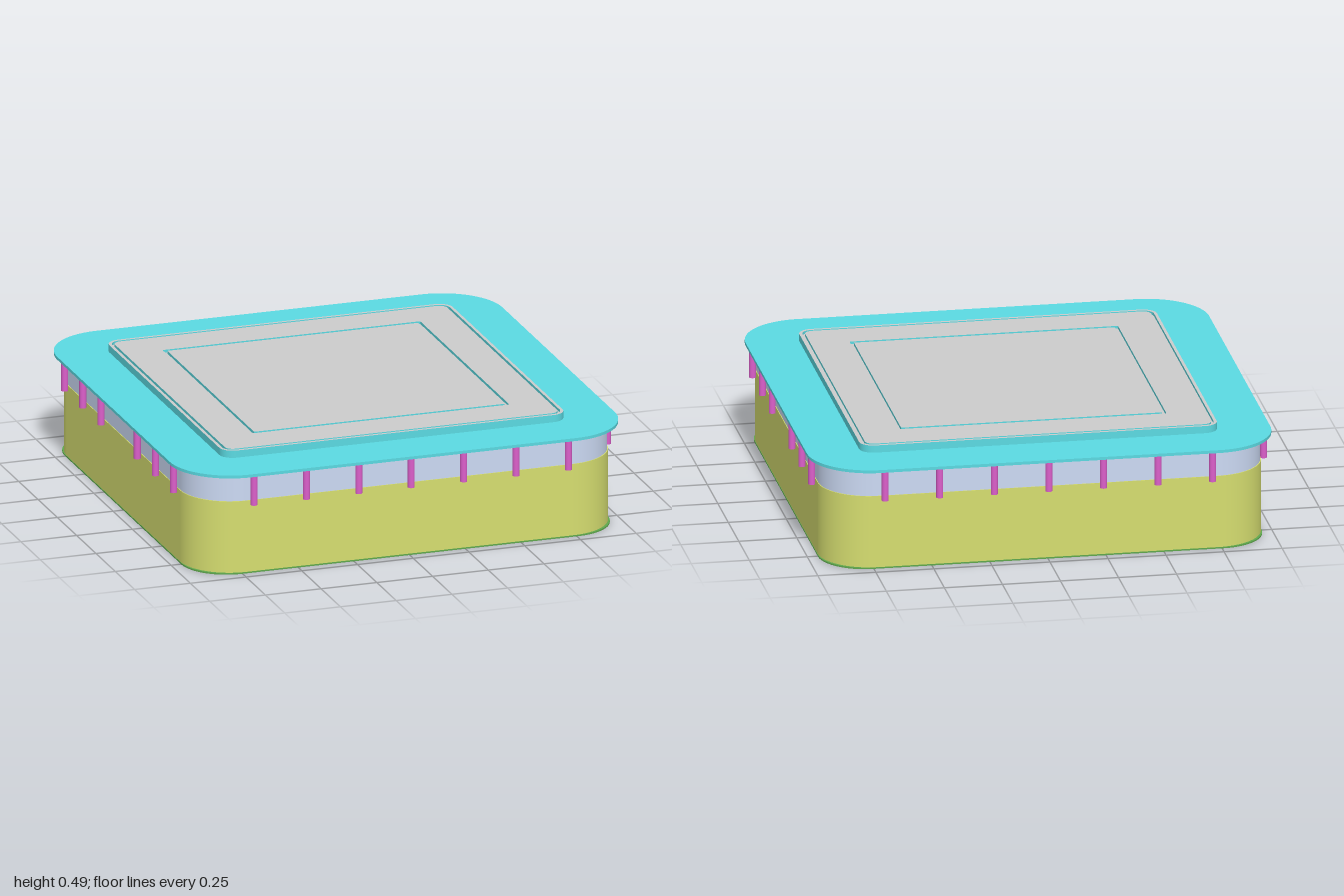
import * as THREE from 'three';

const mat = (color) => new THREE.MeshStandardMaterial({ color });
const grey = mat(0xcccccc), teal = mat(0x5bdae2), yellow = mat(0xd6de70);
const blue = mat(0xccdaf4), magenta = mat(0xdc5fcb), green = mat(0x5fa84c);

// Rounded square outline of half-size h and corner radius r
function outline(h, r, T = THREE.Shape) {
  const s = new T(), c = h - r;
  s.moveTo(c, -h);
  s.absarc(c, -c, r, -Math.PI / 2, 0);
  s.absarc(c, c, r, 0, Math.PI / 2);
  s.absarc(-c, c, r, Math.PI / 2, Math.PI);
  s.absarc(-c, -c, r, Math.PI, Math.PI * 1.5);
  s.closePath();
  return s;
}

// Upright slab between two heights, optionally with a rounded square hole
function slab(name, h, r, y0, y1, material, hole) {
  const s = outline(h, r);
  if (hole) s.holes.push(outline(hole[0], hole[1], THREE.Path));
  const g = new THREE.ExtrudeGeometry(s, { depth: y1 - y0, bevelEnabled: false, curveSegments: 16 });
  g.rotateX(-Math.PI / 2);
  g.translate(0, y0, 0);
  // Smooth normals around the rounded corners, flat caps
  const p = g.attributes.position, n = g.attributes.normal, c = h - r;
  for (let i = 0; i < p.count; i++) {
    if (hole || Math.abs(n.getY(i)) > 0.5) continue;
    const x = p.getX(i), z = p.getZ(i);
    const dx = Math.sign(x) * Math.max(0, Math.abs(x) - c);
    const dz = Math.sign(z) * Math.max(0, Math.abs(z) - c);
    const l = Math.hypot(dx, dz) || 1;
    n.setXYZ(i, dx / l, 0, dz / l);
  }
  const m = new THREE.Mesh(g, material);
  m.name = name;
  return m;
}

export function createModel() {
  const model = new THREE.Group();
  model.name = 'squareTub';

  // Floor plate, outer skirt, upper band and deck
  model.add(
    slab('basePlate', 0.955, 0.2, 0, 0.006, green),
    slab('skirt', 0.953, 0.22, 0.006, 0.325, yellow),
    slab('upperBand', 0.95, 0.22, 0.325, 0.443, blue),
    slab('deck', 0.998, 0.27, 0.443, 0.456, teal)
  );

  // Raised cover: grey top faces, teal edges, narrow grooves
  const cover = new THREE.Group();
  cover.name = 'cover';
  const faced = [grey, teal];
  cover.add(
    slab('coverBase', 0.77, 0.06, 0.456, 0.476, faced),
    slab('coverRim', 0.77, 0.06, 0.476, 0.488, faced, [0.757, 0.048]),
    slab('coverFrame', 0.745, 0.036, 0.476, 0.488, faced, [0.578, 0.004]),
    slab('coverPanel', 0.562, 0.004, 0.476, 0.488, faced)
  );
  model.add(cover);

  // Pegs hanging under the deck edge: seven front and back, six on each side
  const pegs = new THREE.Group();
  pegs.name = 'pegs';
  const pegGeometry = new THREE.CylinderGeometry(0.015, 0.015, 0.133, 16);
  const addPeg = (x, z) => {
    const peg = new THREE.Mesh(pegGeometry, magenta);
    peg.name = 'peg';
    peg.position.set(x, 0.3765, z);
    pegs.add(peg);
  };
  for (const side of [-1, 1]) {
    for (let i = -3; i <= 3; i++) {
      addPeg(i * 0.235, side * 0.973);
      if (i !== 0) addPeg(side * 0.973, i * 0.235);
    }
  }
  model.add(pegs);
  return model;
}
